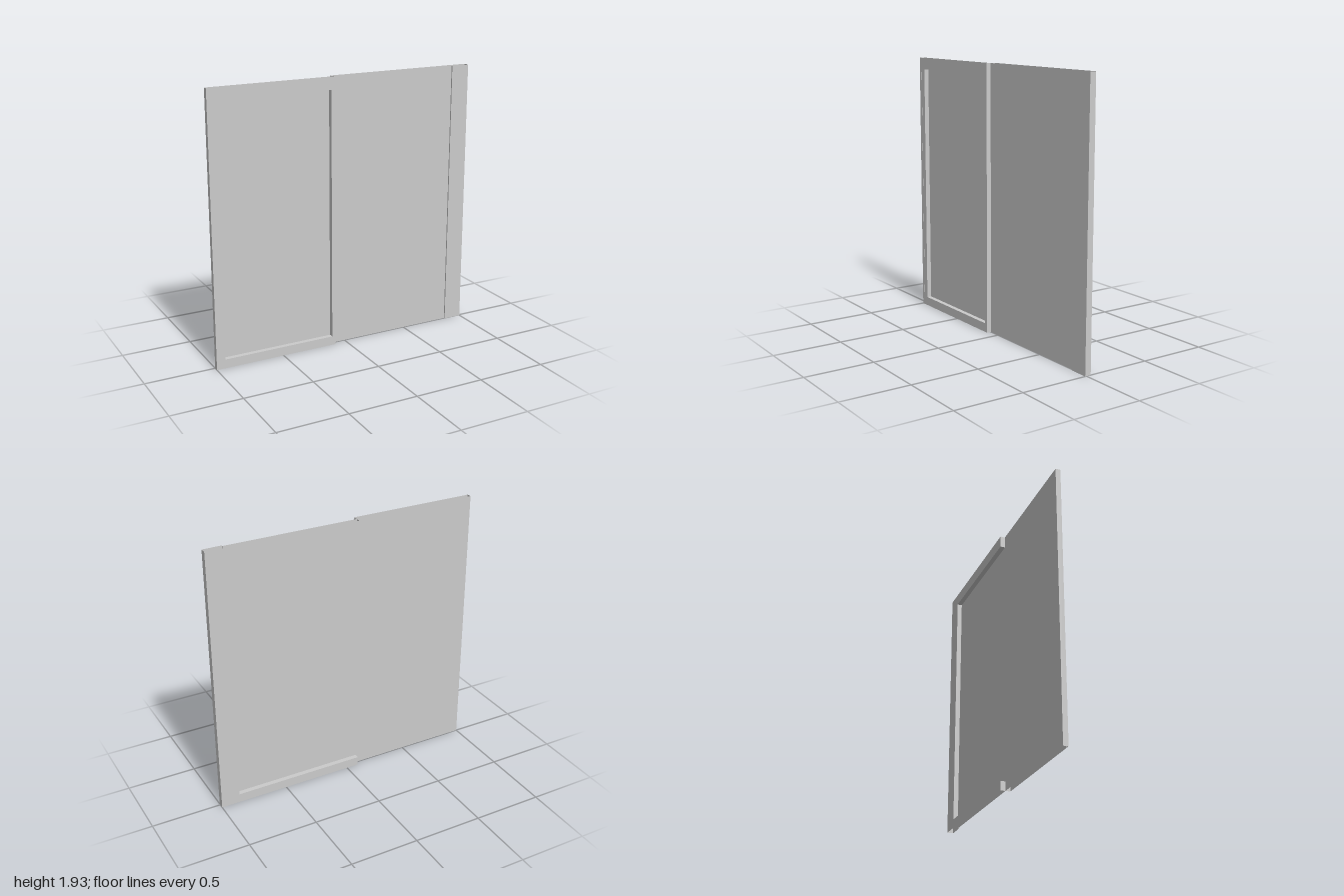
import * as THREE from 'three';

const H = 1.935;            // overall height
const D = 0.035;            // depth of each sash
const LIP = 0.01;           // how far the end post stands past the middle plane
const LOW = 0.065, HIGH = 1.85; // bottom and top of both openings

export function createModel() {
  const group = new THREE.Group();
  const mat = new THREE.MeshStandardMaterial({ color: 0xcccccc, side: THREE.DoubleSide });

  const add = (name, geo) => {
    const mesh = new THREE.Mesh(geo, mat);
    mesh.name = name;
    group.add(mesh);
    return mesh;
  };
  const rect = (Type, x0, x1, y0, y1) => new Type([
    new THREE.Vector2(x0, y0), new THREE.Vector2(x1, y0),
    new THREE.Vector2(x1, y1), new THREE.Vector2(x0, y1),
  ]);
  // sheet facing front or back (dir = 1 or -1)
  const sheet = (name, shape, z, dir = 1) => {
    const geo = new THREE.ShapeGeometry(shape);
    if (dir < 0) {
      geo.index.array.reverse();
      geo.computeVertexNormals();
    }
    geo.translate(0, 0, z);
    return add(name, geo);
  };
  // upright sheet facing +x or -x
  const wall = (name, x, y0, y1, z0, z1, dir) => add(name,
    new THREE.PlaneGeometry(z1 - z0, y1 - y0).rotateY(dir * Math.PI / 2)
      .translate(x, (y0 + y1) / 2, (z0 + z1) / 2));
  // level sheet facing up or down
  const shelf = (name, y, x0, x1, z0, z1, dir) => add(name,
    new THREE.PlaneGeometry(x1 - x0, z1 - z0).rotateX(-dir * Math.PI / 2)
      .translate((x0 + x1) / 2, y, (z0 + z1) / 2));

  // front sash: framed opening, hollow and open at top and bottom
  const xl = -0.935, xr = -0.115, mid = -0.09, face = D - 0.001;
  const frontFace = rect(THREE.Shape, -0.975, mid, 0, H);
  frontFace.holes.push(rect(THREE.Path, xl, xr, LOW, HIGH));
  sheet('frontFrame', frontFace, face);
  sheet('frontEdgeStrip', rect(THREE.Shape, -1, -0.975, 0, H), D);
  wall('frontEdgeStripReturn', -0.975, 0, H, face, D, 1);
  wall('frontOuterSide', -1, 0, H, 0, D, -1);
  wall('frontMeetingSide', mid, 0, H, 0, face, 1);
  wall('frontLeftReveal', xl, LOW, HIGH, 0, face, 1);
  wall('frontRightReveal', xr, LOW, HIGH, 0, face, -1);
  shelf('frontSill', LOW, xl, xr, 0, face, 1);
  shelf('frontHead', HIGH, xl, xr, 0, face, -1);
  sheet('frontPane', rect(THREE.Shape, -1, mid, 0, H), 0, -1);

  // back sash: C-shaped frame, open toward the meeting edge
  const post = 0.865;
  const backFace = new THREE.Shape([
    [mid, 0], [1, 0], [1, H], [mid, H], [mid, HIGH], [post, HIGH], [post, LOW], [mid, LOW],
  ].map(([x, y]) => new THREE.Vector2(x, y)));
  sheet('backFrame', backFace, -D, -1);
  wall('backPostReveal', post, LOW, HIGH, -D, 0, -1);
  shelf('backSill', LOW, mid, post, -D, 0, 1);
  shelf('backHead', HIGH, mid, post, -D, 0, -1);
  wall('bottomRailEnd', mid, 0, LOW, -D, 0, -1);
  wall('topRailEnd', mid, HIGH, H, -D, 0, -1);
  sheet('backPane', rect(THREE.Shape, mid, post, 0, H), 0);

  // end post, standing slightly forward of the pane
  sheet('endPostFront', rect(THREE.Shape, post, 1, 0, H), LIP);
  wall('endPostReturn', post, 0, H, 0, LIP, -1);
  wall('endPostSide', 1, 0, H, -D, LIP, 1);

  return group;
}
